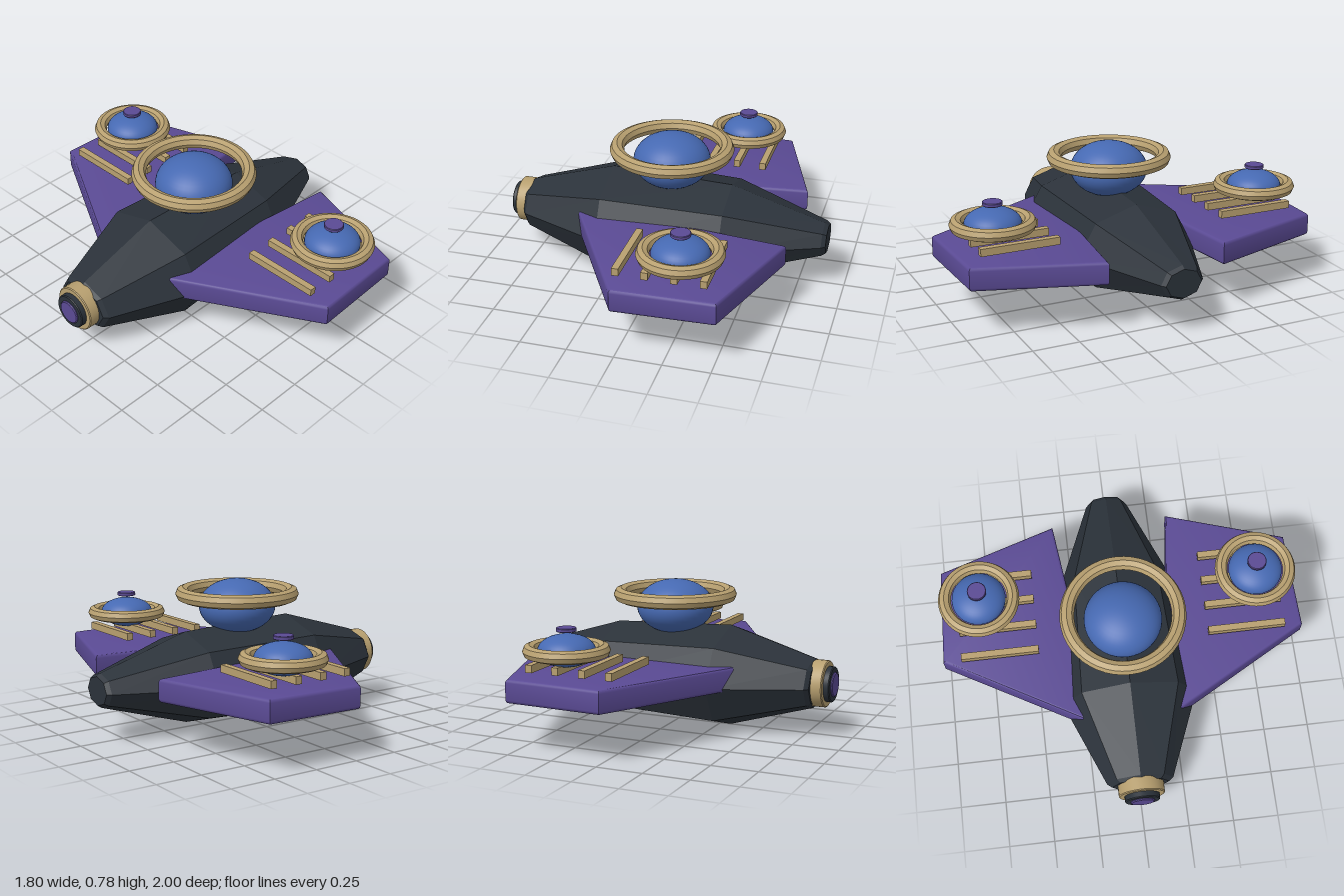
import * as THREE from 'three';
import { toCreasedNormals } from 'three/addons/utils/BufferGeometryUtils.js';

const paint = (color, flatShading = false) => new THREE.MeshStandardMaterial({ color, flatShading });
const DARK = paint(0x2b323a, true);
const DARK_SMOOTH = paint(0x2b323a);
const PURPLE = paint(0x5a4a94);
const GOLD = paint(0xb8a070);
const BLUE = paint(0x4669b2);

function add(parent, name, geometry, material, x = 0, y = 0, z = 0) {
  const mesh = new THREE.Mesh(geometry, material);
  mesh.name = name;
  mesh.position.set(x, y, z);
  parent.add(mesh);
  return mesh;
}

// Short cylinder with chamfered rims, centred on its own middle
function disc(radius, height, chamfer) {
  const h = height / 2;
  const profile = [[0, -h], [radius - chamfer, -h], [radius, chamfer - h],
    [radius, h - chamfer], [radius - chamfer, h], [0, h]];
  const lathe = new THREE.LatheGeometry(profile.map(p => new THREE.Vector2(...p)), 32);
  return toCreasedNormals(lathe, 0.5);
}

// Eight-sided hull lofted along x: each station is [x, half height, half width]
function hullGeometry() {
  const stations = [[-0.8, 0, 0], [-0.8, 0.12, 0.155], [-0.78, 0.137, 0.18], [-0.31, 0.277, 0.37],
    [0.36, 0.25, 0.33], [0.875, 0.092, 0.118], [0.897, 0.077, 0.1], [0.897, 0, 0]];
  const sides = 8;
  const positions = [];
  const indices = [];
  for (const [x, ry, rz] of stations) {
    for (let j = 0; j < sides; j++) {
      const a = (j / sides) * Math.PI * 2;
      positions.push(x, 0.278 - ry * Math.cos(a), rz * Math.sin(a));
    }
  }
  for (let i = 0; i < stations.length - 1; i++) {
    for (let j = 0; j < sides; j++) {
      const k = (j + 1) % sides;
      const a = i * sides + j, d = i * sides + k;
      const b = a + sides, c = d + sides;
      indices.push(a, b, c, a, c, d);
    }
  }
  const geometry = new THREE.BufferGeometry();
  geometry.setAttribute('position', new THREE.Float32BufferAttribute(positions, 3));
  geometry.setIndex(indices);
  geometry.computeVertexNormals();
  return geometry;
}

// Bevelled wing slab, side = 1 or -1 along z
function wingGeometry(side) {
  const outline = [[-0.48, 0.18], [0.725, 0.325], [0.515, 0.98], [-0.02, 1.0]];
  const shape = new THREE.Shape(outline.map(([x, z]) => new THREE.Vector2(x, side * z)));
  const bevel = 0.018;
  const geometry = new THREE.ExtrudeGeometry(shape, {
    depth: 0.125 - 2 * bevel, bevelSize: bevel, bevelThickness: bevel,
    bevelOffset: -bevel, bevelSegments: 3,
  });
  geometry.rotateX(Math.PI / 2);
  geometry.translate(0, 0.385 - bevel, 0);
  return toCreasedNormals(geometry, 0.6);
}

// Flattened dome circled by a faceted ring
function dome(name, radius, height, ringRadius, tube, ringLift) {
  const group = new THREE.Group();
  group.name = name;
  add(group, 'domeBody', new THREE.SphereGeometry(radius, 40, 24), BLUE).scale.y = height / radius;
  const ring = new THREE.TorusGeometry(ringRadius, tube, 8, 48).rotateX(Math.PI / 2);
  add(group, 'domeRing', toCreasedNormals(ring, 0.5), GOLD, 0, ringLift, 0);
  return group;
}

export function createModel() {
  const model = new THREE.Group();
  model.name = 'hovercraft';

  add(model, 'hull', hullGeometry(), DARK);

  // Tail nozzle: stacked discs along x
  const tail = [
    ['tailCollar', 0.125, 0.08, GOLD, -0.82],
    ['tailNozzle', 0.095, 0.06, DARK_SMOOTH, -0.862],
    ['tailCore', 0.065, 0.03, PURPLE, -0.886],
  ];
  for (const [name, radius, length, material, x] of tail) {
    add(model, name, disc(radius, length, 0.005), material, x, 0.28, 0).rotation.z = Math.PI / 2;
  }

  // Main dome on top of the hull
  const mainDome = dome('mainDome', 0.21, 0.148, 0.298, 0.039, 0.067);
  mainDome.position.set(0.022, 0.637, 0);
  model.add(mainDome);

  // Wings with rails and pods, mirrored across z
  for (const side of [1, -1]) {
    const wing = new THREE.Group();
    wing.name = side > 0 ? 'frontWing' : 'backWing';
    add(wing, 'wingSlab', wingGeometry(side), PURPLE);
    for (let i = 0; i < 4; i++) {
      add(wing, 'wingRail', new THREE.BoxGeometry(0.036, 0.04, 0.425), GOLD,
        -0.02 + i * 0.15, 0.428, side * 0.682);
    }
    const pod = dome('wingPod', 0.148, 0.083, 0.188, 0.035, 0);
    add(pod, 'podCap', disc(0.052, 0.02, 0.003), PURPLE, 0, 0.107, 0);
    pod.position.set(0.28, 0.513, side * 0.767);
    wing.add(pod);
    model.add(wing);
  }
  return model;
}
